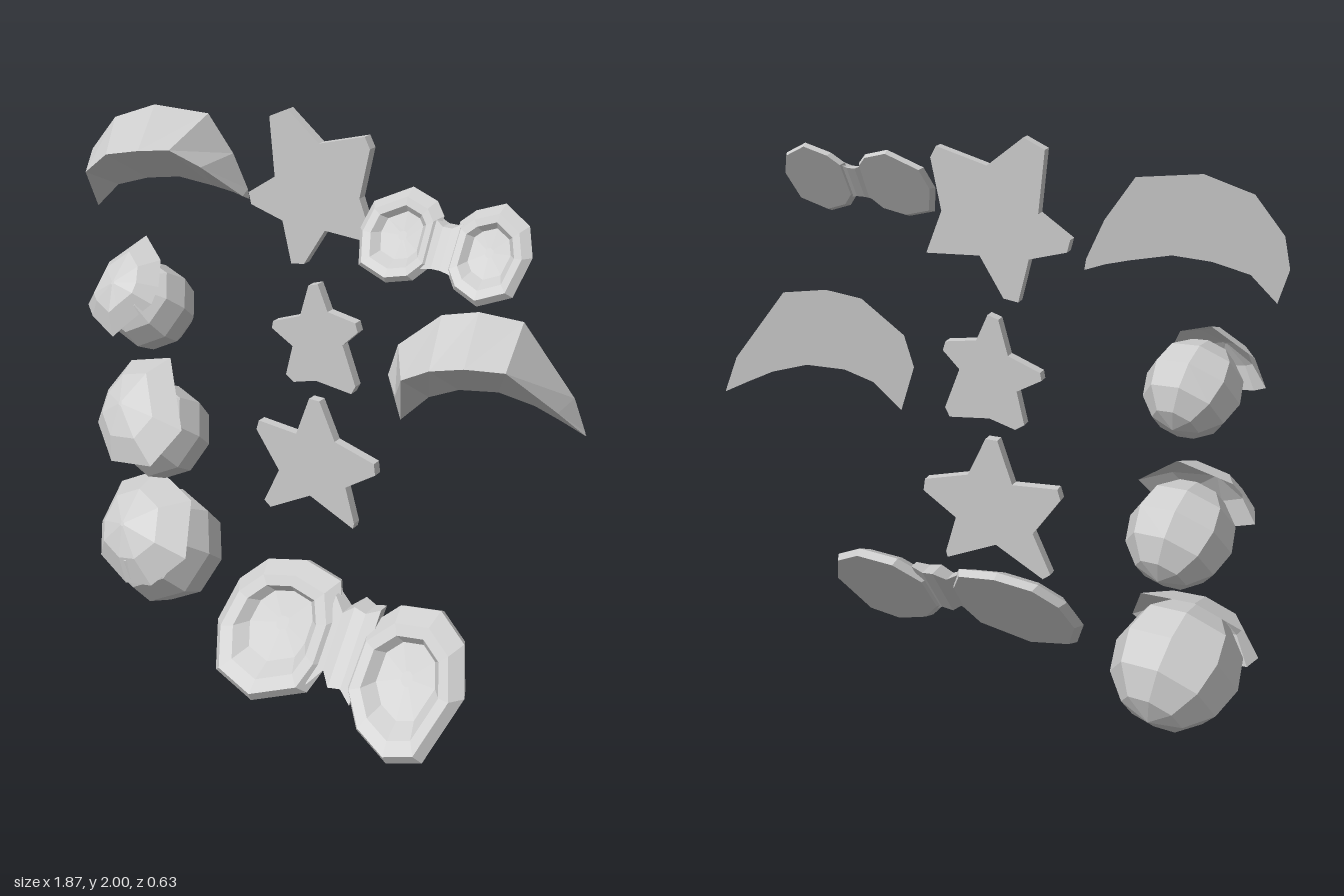
import * as THREE from 'three';

const material = new THREE.MeshStandardMaterial({ color: 0xcccccc, flatShading: true, side: THREE.DoubleSide });

function addMesh(parent, name, geometry) {
  const mesh = new THREE.Mesh(geometry, material);
  mesh.name = name;
  parent.add(mesh);
  return mesh;
}

const centroid = (ring) =>
  ring[0].map((_, k) => ring.reduce((sum, p) => sum + p[k], 0) / ring.length);

// Skin through rings that run clockwise seen from the end they advance to
function loft(rings, closeStart = true) {
  const out = [];
  const tri = (...points) => points.forEach((p) => out.push(...p));
  const n = rings[0].length;
  for (let j = 0; j < n; j++) {
    const k = (j + 1) % n;
    for (let i = 0; i < rings.length - 1; i++) {
      const lo = rings[i], hi = rings[i + 1];
      tri(lo[j], hi[j], hi[k]);
      tri(lo[j], hi[k], lo[k]);
    }
    const first = rings[0], last = rings[rings.length - 1];
    if (closeStart) tri(centroid(first), first[j], first[k]);
    tri(centroid(last), last[k], last[j]);
  }
  const geometry = new THREE.BufferGeometry();
  geometry.setAttribute('position', new THREE.Float32BufferAttribute(out, 3));
  geometry.computeVertexNormals();
  return geometry;
}

// Flat star plate with blunt tips
function star(parent, name, points) {
  const shape = new THREE.Shape(points.map(([x, y]) => new THREE.Vector2(x, y)));
  const geometry = new THREE.ExtrudeGeometry(shape, { depth: 0.034, bevelEnabled: false });
  addMesh(parent, name, geometry.translate(0, 0, -0.174));
}

// Arched horn: flat slanting back, ridge pushed forward. Station: outer, ridge, inner, ridge depth
function crescent(parent, name, x0, stations) {
  const back = (x) => -0.1 - 0.26 * (x - x0);
  addMesh(parent, name, loft(stations.map(([ox, oy, rx, ry, ix, iy, depth]) => [
    [ox, oy, back(ox)], [ix, iy, back(ix)], [rx, ry, back(rx) + depth],
  ])));
}

// Faceted ball wearing a tilted, shallow domed cap
function cappedBall(parent, name, center, radius, slope, rimZ, outline) {
  const group = new THREE.Group();
  group.name = name;
  const normal = new THREE.Vector3(-0.22, slope, 1).normalize();
  const ball = addMesh(group, 'ball', new THREE.SphereGeometry(radius, 8, 6));
  ball.position.set(...center);
  ball.quaternion.setFromUnitVectors(new THREE.Vector3(0, 1, 0), normal);
  const [cx, cy] = centroid(outline);
  const ring = (scale, lift) => outline.map(([x, y]) => {
    const dx = (x - cx) * scale, dy = (y - cy) * scale;
    return [
      cx + dx + normal.x * lift,
      cy + dy + normal.y * lift,
      rimZ - slope * dy + 0.22 * dx + normal.z * lift,
    ];
  });
  addMesh(group, 'cap', loft([ring(1, 0), ring(0.6, 0.34 * radius), ring(0.04, 0.5 * radius)], false));
  parent.add(group);
}

// Bow leaning back: two dished loops joined by a pinched knot
function bow(parent, name, planeZ, half, loops, knot) {
  const group = new THREE.Group();
  group.name = name;
  const profile = [[0.92, -1], [1, -0.1], [0.84, 0.9], [0.66, 0.75], [0.5, -0.2], [0.1, -0.35]];
  loops.forEach((outline, i) => {
    const [cx, cy] = centroid(outline);
    addMesh(group, i ? 'leftLoop' : 'rightLoop', loft(profile.map(([scale, d]) =>
      outline.map(([px, py]) => {
        const x = cx + (px - cx) * scale, y = cy + (py - cy) * scale;
        return [x, y, planeZ(y) + d * half];
      }))));
  });
  addMesh(group, 'knot', loft(knot.map(([x, low, high, d]) => [
    [x, high, planeZ(high) + d], [x, high, planeZ(high) - d],
    [x, low, planeZ(low) - d], [x, low, planeZ(low) + d],
  ])));
  parent.add(group);
}

export function createModel() {
  const model = new THREE.Group();
  model.name = 'ornamentSet';

  // Stars in the middle column
  star(model, 'topStar', [
    [-0.12, 2.0], [0, 1.905], [0.17, 1.952], [0.19, 1.915], [0.155, 1.75], [0.21, 1.61], [0.026, 1.62],
    [-0.055, 1.49], [-0.105, 1.483], [-0.14, 1.625], [-0.265, 1.66], [-0.275, 1.7], [-0.17, 1.77], [-0.19, 1.968],
  ]);
  star(model, 'middleStar', [
    [-0.037, 1.418], [0, 1.43], [0.04, 1.34], [0.148, 1.323], [0.158, 1.292], [0.1, 1.234], [0.153, 1.096],
    [0.137, 1.065], [-0.005, 1.08], [-0.095, 1.054], [-0.127, 1.075], [-0.1, 1.186], [-0.185, 1.234],
    [-0.18, 1.26], [-0.07, 1.302],
  ]);
  star(model, 'lowerStar', [
    [-0.032, 1.006], [0.01, 1.006], [0.074, 0.869], [0.232, 0.827], [0.238, 0.785], [0.12, 0.705], [0.158, 0.573],
    [0.153, 0.552], [-0.026, 0.631], [-0.195, 0.536], [-0.222, 0.557], [-0.158, 0.695], [-0.254, 0.832],
    [-0.243, 0.869], [-0.085, 0.858],
  ]);

  // Crescents
  crescent(model, 'rightCrescent', -0.93, [
    [-0.935, 1.66, -0.9, 1.635, -0.905, 1.555, 0.03],
    [-0.915, 1.76, -0.825, 1.725, -0.825, 1.64, 0.17],
    [-0.825, 1.88, -0.72, 1.805, -0.715, 1.675, 0.21],
    [-0.68, 1.935, -0.6, 1.83, -0.6, 1.69, 0.22],
    [-0.49, 1.92, -0.485, 1.845, -0.48, 1.67, 0.23],
    [-0.405, 1.79, -0.415, 1.78, -0.41, 1.655, 0.17],
    [-0.355, 1.67, -0.35, 1.655, -0.35, 1.635, 0.04],
  ]);
  crescent(model, 'leftCrescent', 0.3, [
    [0.3, 1.19, 0.34, 1.13, 0.345, 1.035, 0.03],
    [0.33, 1.3, 0.42, 1.245, 0.435, 1.13, 0.16],
    [0.465, 1.42, 0.53, 1.31, 0.53, 1.17, 0.21],
    [0.58, 1.445, 0.645, 1.34, 0.655, 1.18, 0.23],
    [0.72, 1.43, 0.78, 1.355, 0.77, 1.15, 0.255],
    [0.89, 1.195, 0.88, 1.18, 0.855, 1.11, 0.1],
    [0.93, 1.085, 0.935, 1.075, 0.935, 1.07, 0.01],
  ]);

  // Capped balls
  cappedBall(model, 'largeCappedBall', [-0.64, 0.265, -0.085], 0.222, 0.75, 0, [
    [-0.9, 0.315], [-0.875, 0.455], [-0.71, 0.54], [-0.505, 0.5],
    [-0.435, 0.34], [-0.55, 0.22], [-0.675, 0.19], [-0.845, 0.225],
  ]);
  cappedBall(model, 'mediumCappedBall', [-0.635, 0.745, -0.088], 0.178, 0.85, 0, [
    [-0.63, 1.02], [-0.445, 0.85], [-0.52, 0.725], [-0.71, 0.69], [-0.85, 0.77], [-0.865, 0.865], [-0.81, 0.97],
  ]);
  cappedBall(model, 'smallCappedBall', [-0.65, 1.24, -0.07], 0.157, 0.85, 0.01, [
    [-0.715, 1.47], [-0.6, 1.42], [-0.56, 1.35], [-0.56, 1.3], [-0.64, 1.22],
    [-0.675, 1.18], [-0.81, 1.21], [-0.855, 1.235], [-0.84, 1.365],
  ]);

  // Bows
  bow(model, 'largeBow', (y) => 0.31 - 0.74 * y, 0.045, [
    [[-0.225, 0.205], [-0.195, 0.335], [-0.11, 0.415], [0.035, 0.445], [0.19, 0.42],
      [0.245, 0.325], [0.245, 0.19], [0.205, 0.1], [0.01, 0.025], [-0.165, 0.07]],
    [[0.34, 0.325], [0.435, 0.41], [0.58, 0.43], [0.695, 0.365], [0.755, 0.23],
      [0.685, 0.035], [0.565, 0], [0.425, 0.055], [0.335, 0.16]],
  ], [[0.2, 0.13, 0.39, 0.02], [0.25, 0.19, 0.355, 0.03], [0.29, 0.155, 0.385, 0.04],
    [0.335, 0.16, 0.375, 0.035], [0.38, 0.12, 0.39, 0.02]]);
  bow(model, 'smallBow', (y) => 0.19 - 0.6 * (y - 1.62), 0.025, [
    [[0.31, 1.75], [0.33, 1.825], [0.445, 1.88], [0.535, 1.855], [0.57, 1.82],
      [0.575, 1.69], [0.53, 1.645], [0.445, 1.625], [0.34, 1.655]],
    [[0.625, 1.815], [0.665, 1.85], [0.75, 1.88], [0.84, 1.835], [0.875, 1.76],
      [0.85, 1.655], [0.75, 1.615], [0.665, 1.645], [0.625, 1.69]],
  ], [[0.54, 1.68, 1.82, 0.012], [0.585, 1.69, 1.8, 0.02], [0.615, 1.69, 1.8, 0.02], [0.655, 1.68, 1.82, 0.012]]);

  return model;
}
